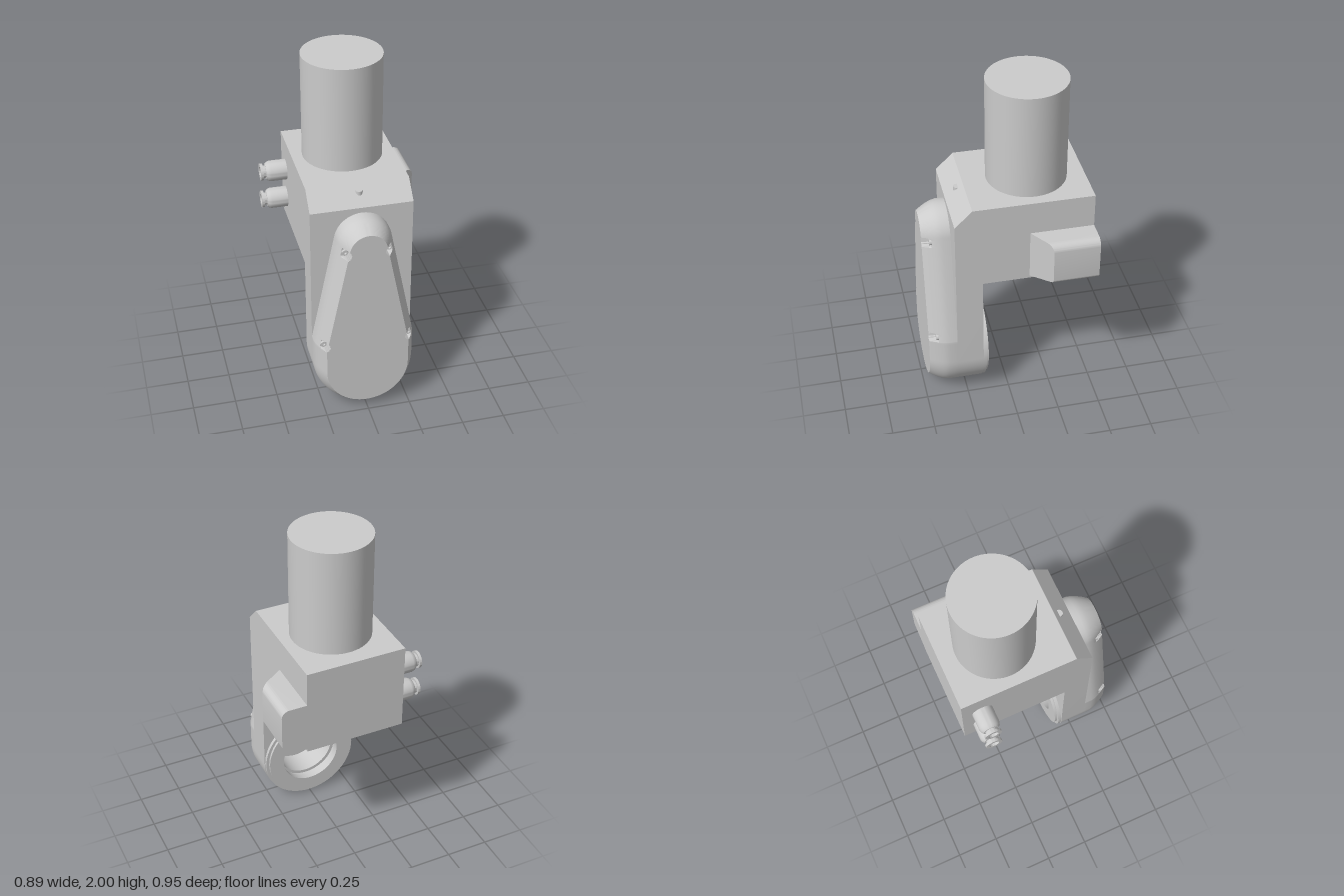
import * as THREE from 'three';
import { toCreasedNormals } from 'three/addons/utils/BufferGeometryUtils.js';

const W = 0.293, FRONT = 0.315, AXIS_Y = 0.295;
const BOLTS = [[0.125, 1.08], [0.25, 0.475]];

export function createModel() {
  const group = new THREE.Group();
  const material = new THREE.MeshStandardMaterial({ color: 0xcccccc });
  const add = (name, geometry, x = 0, y = 0, z = 0) => {
    const mesh = new THREE.Mesh(geometry, material);
    mesh.name = name;
    mesh.position.set(x, y, z);
    group.add(mesh);
    return mesh;
  };
  const lathe = (points, segments = 48) => toCreasedNormals(
    new THREE.LatheGeometry(points.map(p => new THREE.Vector2(...p)), segments), 0.5);

  // Motor column
  add('motorColumn', new THREE.CylinderGeometry(0.23, 0.23, 0.62, 64), 0, 1.69, -0.15);

  // Head: side profile (z, y) extruded across x
  const side = new THREE.Shape([[-0.475, 0.865], [FRONT, 0.865], [FRONT, 1.28], [0.215, 1.38], [-0.475, 1.38]]
    .map(([z, y]) => new THREE.Vector2(-z, y)));
  const head = new THREE.ExtrudeGeometry(side, { depth: 2 * W, bevelEnabled: false });
  head.translate(0, 0, -W).rotateY(Math.PI / 2);
  add('head', head);
  add('chamferPlug', new THREE.CylinderGeometry(0.021, 0.021, 0.04, 24), 0, 1.333, 0.245);

  // Leg plate with a rounded foot and a bore
  const plate = new THREE.Shape();
  plate.moveTo(W, 0.865);
  plate.lineTo(-W, 0.865);
  plate.lineTo(-W, AXIS_Y);
  plate.absarc(0, AXIS_Y, W, Math.PI, 2 * Math.PI, false);
  plate.closePath();
  const bore = new THREE.Path();
  bore.absarc(0, AXIS_Y, 0.205, 0, 2 * Math.PI, true);
  plate.holes.push(bore);
  const leg = new THREE.ExtrudeGeometry(plate, { depth: FRONT - 0.16, bevelEnabled: false, curveSegments: 40 });
  add('legPlate', toCreasedNormals(leg, 0.5), 0, 0, 0.16);

  // Output ring, stepped bore and centre pin, turned about z
  const ring = lathe([[0.29, -0.16], [0.29, -0.14], [0.272, -0.14], [0.272, -0.125], [0.18, -0.125],
    [0.18, -0.165], [0.195, -0.165], [0.195, -0.2], [0.175, -0.2], [0.175, -0.36],
    [0.035, -0.36], [0.035, -0.26], [0.025, -0.235], [0, -0.222]], 64);
  add('outputRing', ring.rotateX(-Math.PI / 2), 0, AXIS_Y, 0);

  add('frontCover', coverGeometry());
  for (const s of [-1, 1]) for (const [x, y] of BOLTS) {
    const screw = lathe([[0.017, 0], [0.017, 0.015], [0.009, 0.015], [0.009, 0.003], [0, 0.003]], 20);
    add('coverScrew', screw.rotateX(Math.PI / 2), s * x, y, 0.419);
  }

  // Side connector block: front end slants back towards its outer face
  const block = new THREE.Shape();
  block.moveTo(W - 0.02, 0.873);
  block.lineTo(W, 0.88);
  block.lineTo(0.425, 0.922);
  block.quadraticCurveTo(0.442, 0.928, 0.442, 0.945);
  block.lineTo(0.442, 1.135);
  block.absarc(0.397, 1.135, 0.045, 0, Math.PI / 2, false);
  block.lineTo(W - 0.02, 1.18);
  block.closePath();
  const blockGeo = new THREE.ExtrudeGeometry(block, { depth: 0.3, bevelEnabled: false, curveSegments: 10 });
  const p = blockGeo.attributes.position;
  for (let i = 0; i < p.count; i++) {
    p.setZ(i, p.getZ(i) > 0.1 ? -0.11 - (p.getX(i) - W) * 0.68 : -0.475);
  }
  blockGeo.computeVertexNormals();
  add('connectorBlock', toCreasedNormals(blockGeo, 0.5));

  // Two air fittings on the opposite side
  for (const y of [1.19, 1.005]) {
    const fitting = lathe([[0.061, -0.01], [0.061, 0.095], [0.056, 0.11], [0.045, 0.122], [0.037, 0.122],
      [0.037, 0.138], [0.05, 0.138], [0.05, 0.153], [0.03, 0.153], [0.03, 0.09], [0, 0.09]]);
    add('airFitting', fitting.rotateZ(Math.PI / 2), -W, y, -0.355);
  }
  return group;
}

// Teardrop cover: inset loops rise over a rounded edge, with screw pockets sunk in
function coverGeometry() {
  const half = [];
  const put = (x, y, a) => half.push([x, y, Math.cos(a), Math.sin(a)]);
  const topY = 1.09, topR = 0.16, kinkY = 0.45, tilt = 0.2;
  for (let i = 0; i < 24; i++) {
    const a = (i / 24 - 1) * Math.PI / 2;
    put(W * Math.cos(a), AXIS_Y + W * Math.sin(a), a);
  }
  for (let i = 0; i < 30; i++) put(W, AXIS_Y + (kinkY - AXIS_Y) * i / 30, 0);
  const tx = topR * Math.cos(tilt), ty = topY + topR * Math.sin(tilt);
  for (let i = 0; i < 130; i++) {
    const t = i / 130;
    put(W + (tx - W) * t, kinkY + (ty - kinkY) * t, i ? tilt : tilt / 2);
  }
  for (let i = 0; i <= 20; i++) {
    const a = tilt + (Math.PI / 2 - tilt) * i / 20;
    put(topR * Math.cos(a), topY + topR * Math.sin(a), a);
  }
  const mirrored = half.slice(1, -1).reverse().map(([x, y, nx, ny]) => [-x, y, -nx, ny]);
  const outline = half.concat(mirrored), n = outline.length;

  const edge = 0.053, rows = [[0, FRONT]];
  for (let i = 0; i <= 15; i++) {
    const inset = edge * i / 10;
    rows.push([inset, 0.36 + 0.115 * Math.min(1, Math.pow(inset / edge, 1 / 1.5))]);
  }
  const positions = [], index = [];
  rows.forEach(([inset, z], r) => outline.forEach(([x, y, nx, ny], i) => {
    const px = x - nx * inset, py = y - ny * inset;
    const inPocket = BOLTS.some(([bx, by]) => Math.hypot(Math.abs(px) - bx, py - by) < 0.027);
    positions.push(px, py, inPocket ? Math.min(z, 0.42) : z);
    if (r) {
      const a = (r - 1) * n + i, b = (r - 1) * n + (i + 1) % n;
      index.push(a, b, b + n, a, b + n, a + n);
    }
  }));
  // Flat front face
  const start = (rows.length - 1) * n;
  const loop = outline.map((_, i) => new THREE.Vector2(positions[(start + i) * 3], positions[(start + i) * 3 + 1]));
  for (const f of THREE.ShapeUtils.triangulateShape(loop, [])) index.push(...f.map(i => start + i));

  const geometry = new THREE.BufferGeometry();
  geometry.setAttribute('position', new THREE.Float32BufferAttribute(positions, 3));
  geometry.setIndex(index);
  return toCreasedNormals(geometry, 0.4);
}
